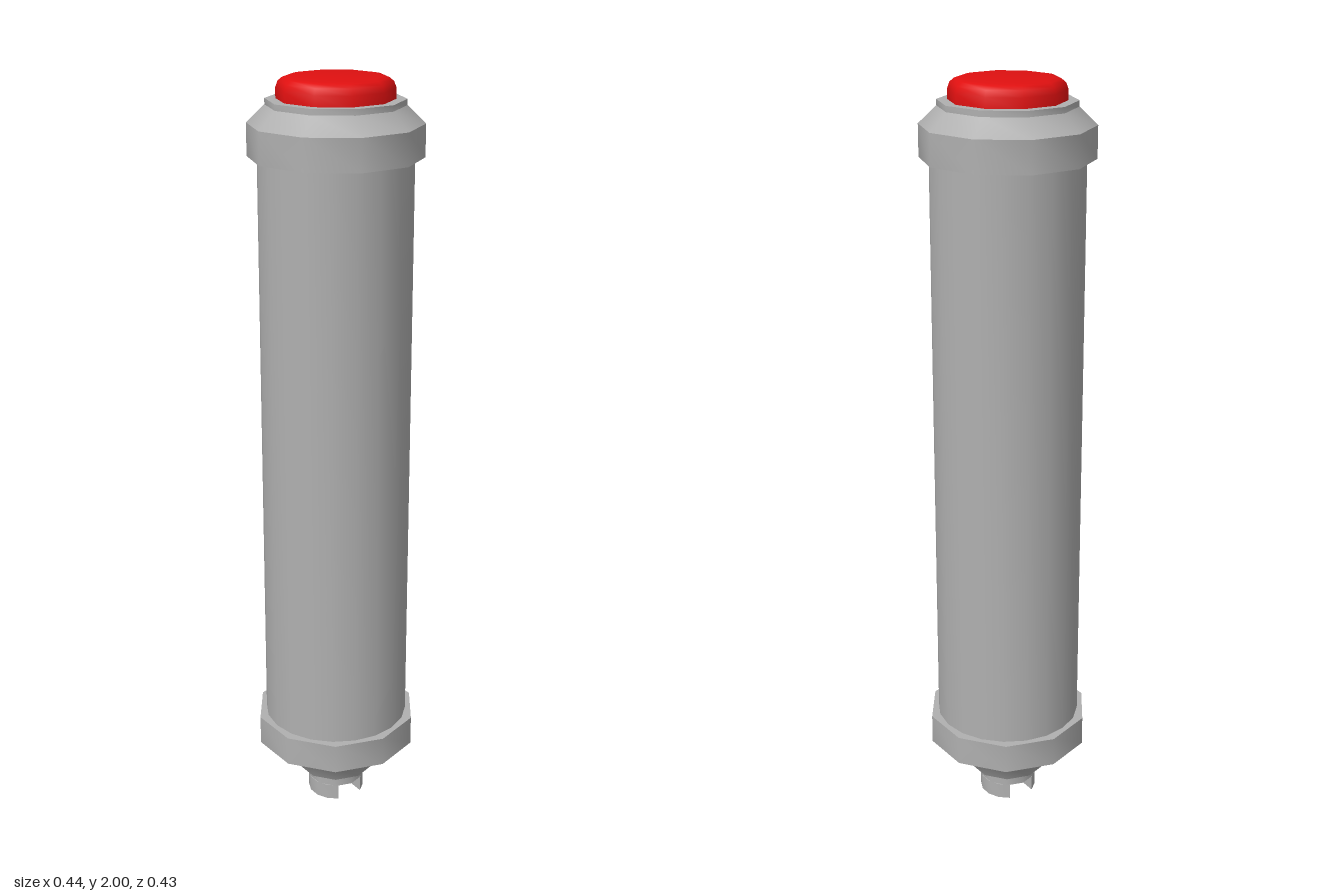
import * as THREE from 'three';
import { toCreasedNormals } from 'three/addons/utils/BufferGeometryUtils.js';

const grey = new THREE.MeshStandardMaterial({ color: 0xb0b0b0 });
grey.name = 'metalGrey';
const red = new THREE.MeshStandardMaterial({ color: 0xe01010 });
red.name = 'buttonRed';

const rad = THREE.MathUtils.degToRad;

// Turned part from [radius, y] points, listed from the bottom up
function turned(name, profile, sides, turn, material, crease = 40) {
  const points = profile.map(([r, y]) => new THREE.Vector2(r, y));
  const lathe = new THREE.LatheGeometry(points, sides, rad(turn));
  const mesh = new THREE.Mesh(toCreasedNormals(lathe, rad(crease)), material);
  mesh.name = name;
  return mesh;
}

export function createModel() {
  const group = new THREE.Group();
  group.name = 'cylinderHandle';

  // Long smooth tube
  group.add(turned('body', [[0.195, 0.22], [0.195, 1.85]], 20, 8, grey));

  // Ten-sided top collar with chamfer and lip
  group.add(turned('topCollar', [
    [0, 1.805], [0.22, 1.805], [0.22, 1.887], [0.174, 1.931], [0.174, 1.946], [0, 1.946],
  ], 10, 26, grey));

  // Rounded push button
  group.add(turned('button', [
    [0.147, 1.94], [0.147, 1.972], [0.141, 1.988], [0.13, 1.997], [0.115, 2], [0, 2],
  ], 10, 26, red, 50));

  // Bottom collar running into the tapered nose
  group.add(turned('bottomCollar', [
    [0, 0.082], [0.107, 0.082], [0.138, 0.138], [0.22, 0.18], [0.22, 0.26], [0, 0.26],
  ], 10, 10, grey));

  // Connector stem
  group.add(turned('stem', [[0, 0.042], [0.077, 0.042], [0.077, 0.1]], 10, 10, grey));

  // Two prongs either side of a diagonal slot
  const half = rad(61);
  for (const middle of [rad(45), rad(225)]) {
    const shape = new THREE.Shape();
    for (let i = 0; i <= 5; i++) {
      const a = middle - half + (2 * half * i) / 5;
      const x = 0.077 * Math.cos(a), y = 0.077 * Math.sin(a);
      if (i === 0) shape.moveTo(x, y);
      else shape.lineTo(x, y);
    }
    shape.closePath();
    const geometry = new THREE.ExtrudeGeometry(shape, { depth: 0.043, bevelEnabled: false });
    geometry.rotateX(-Math.PI / 2);
    const prong = new THREE.Mesh(toCreasedNormals(geometry, rad(40)), grey);
    prong.name = 'prong';
    group.add(prong);
  }

  return group;
}
